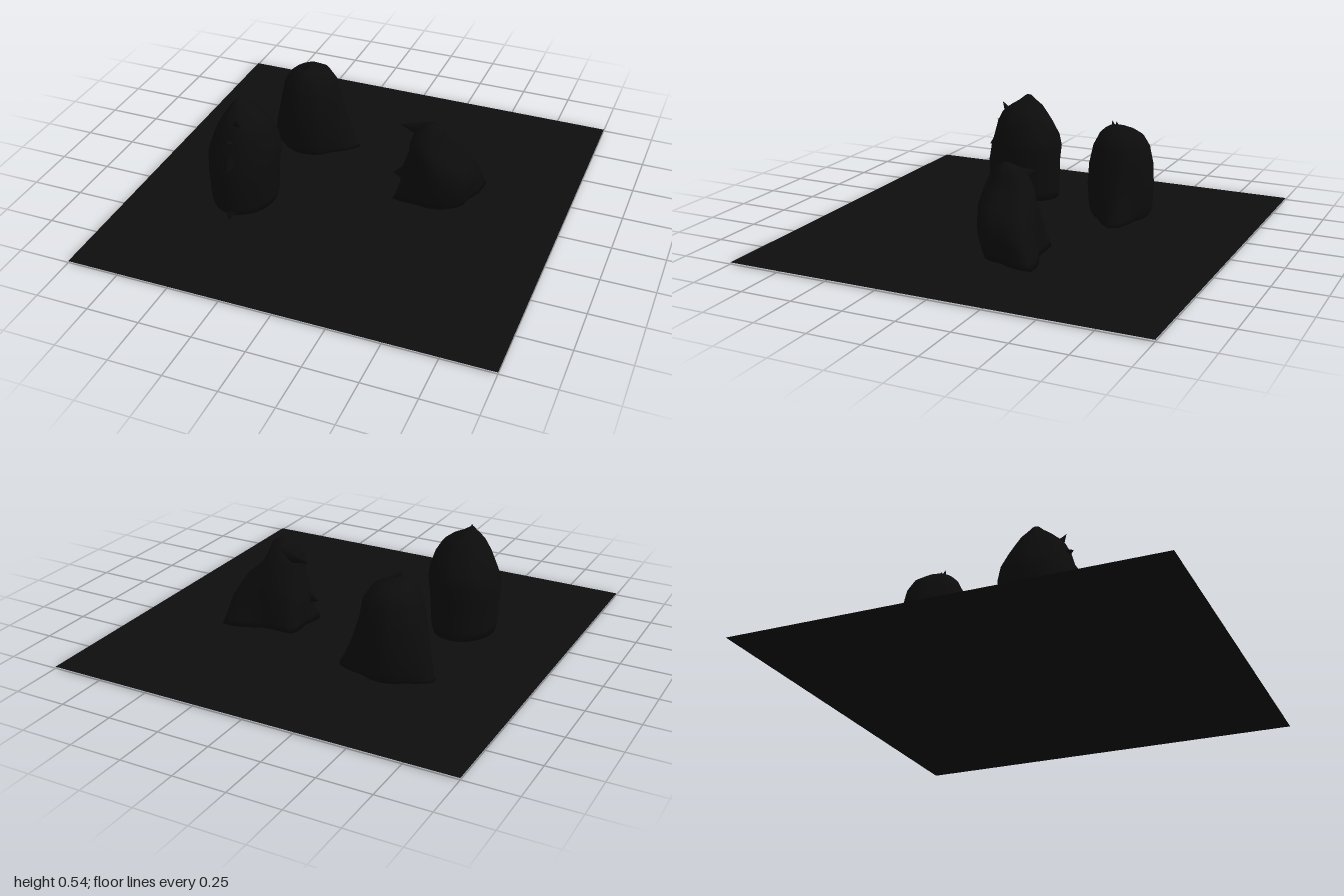
import * as THREE from 'three';

const plastic = new THREE.MeshStandardMaterial({ color: 0x0c0c0c });
plastic.name = 'black plastic';
plastic.side = THREE.DoubleSide;
const groundMat = new THREE.MeshStandardMaterial({ color: 0x0d0d0d });
groundMat.name = 'dark ground';
groundMat.side = THREE.DoubleSide;

const SIDES = 40;

// Sack lofted through rings [y, xMin, xMax, zMin, zMax].
// Corners [angle, width, height, length] pull the skirt outwards near the floor.
function sack(rings, corners, folds, phase) {
  const pos = [], index = [];
  const top = rings.length - 1;
  rings.forEach(([y, x0, x1, z0, z1], i) => {
    const cx = (x0 + x1) / 2, cz = (z0 + z1) / 2;
    const rx = (x1 - x0) / 2, rz = (z1 - z0) / 2;
    const depth = 0.012 + 0.07 * (i / top) ** 3;
    for (let j = 0; j < SIDES; j++) {
      const t = (j / SIDES) * Math.PI * 2;
      const k = 1 - depth * (0.5 + 0.5 * Math.sin(folds * t + phase + y * 3));
      let push = 0;
      for (const [angle, width, height, length] of corners) {
        const d = Math.abs(Math.atan2(Math.sin(t - angle), Math.cos(t - angle)));
        push += length * Math.max(0, 1 - d / width) ** 1.4 * Math.max(0, 1 - (y - 0.02) / height) ** 1.8;
      }
      pos.push(cx + Math.cos(t) * (rx * k + push), y, cz + Math.sin(t) * (rz * k + push));
    }
  });
  for (let i = 0; i < top; i++) {
    for (let j = 0; j < SIDES; j++) {
      const a = i * SIDES + j, b = i * SIDES + (j + 1) % SIDES;
      index.push(a, a + SIDES, b, b, a + SIDES, b + SIDES);
    }
  }
  // Bottom and top caps
  for (const i of [0, top]) {
    const [y, x0, x1, z0, z1] = rings[i];
    const c = pos.length / 3;
    pos.push((x0 + x1) / 2, y, (z0 + z1) / 2);
    for (let j = 0; j < SIDES; j++) {
      const a = i * SIDES + j, b = i * SIDES + (j + 1) % SIDES;
      if (i === 0) index.push(c, a, b); else index.push(c, b, a);
    }
  }
  const g = new THREE.BufferGeometry();
  g.setAttribute('position', new THREE.Float32BufferAttribute(pos, 3));
  g.setIndex(index);
  g.computeVertexNormals();
  return g;
}

function add(group, name, geometry, material = plastic) {
  const mesh = new THREE.Mesh(geometry, material);
  mesh.name = name;
  group.add(mesh);
  return mesh;
}

// Pinched flap of plastic running from a base point to a tip
function flap(group, name, base, tip, radius, flat = 0.5) {
  const a = new THREE.Vector3(...base), b = new THREE.Vector3(...tip);
  const dir = b.clone().sub(a);
  const mesh = add(group, name, new THREE.ConeGeometry(radius, dir.length(), 8, 2));
  mesh.position.copy(a).add(b).multiplyScalar(0.5);
  mesh.quaternion.setFromUnitVectors(new THREE.Vector3(0, 1, 0), dir.normalize());
  mesh.scale.z = flat;
}

export function createModel() {
  const model = new THREE.Group();
  model.name = 'garbageBags';

  // Ground sheet
  add(model, 'ground', new THREE.PlaneGeometry(2, 2).rotateX(-Math.PI / 2).translate(0, 0.008, 0), groundMat);

  // Tall bag at the front
  const tall = new THREE.Group();
  tall.name = 'tallBag';
  add(tall, 'tallSack', sack([
    [0.02, -0.625, -0.33, 0.065, 0.42],
    [0.06, -0.63, -0.32, 0.06, 0.435],
    [0.2, -0.64, -0.31, 0.06, 0.435],
    [0.28, -0.647, -0.303, 0.052, 0.42],
    [0.34, -0.628, -0.31, 0.06, 0.4],
    [0.41, -0.597, -0.33, 0.095, 0.38],
    [0.46, -0.567, -0.36, 0.125, 0.355],
    [0.49, -0.548, -0.4, 0.15, 0.32],
    [0.515, -0.53, -0.45, 0.19, 0.28],
    [0.54, -0.51, -0.49, 0.22, 0.25],
  ], [], 7, 0.5));
  flap(tall, 'upperEar', [-0.46, 0.42, 0.31], [-0.45, 0.505, 0.36], 0.05);
  flap(tall, 'frontEar', [-0.48, 0.38, 0.34], [-0.48, 0.4, 0.405], 0.06);
  flap(tall, 'frontFold', [-0.47, 0.31, 0.37], [-0.47, 0.265, 0.445], 0.06, 0.8);
  flap(tall, 'sideEar', [-0.42, 0.42, 0.22], [-0.395, 0.48, 0.2], 0.05);
  flap(tall, 'floorCorner', [-0.47, 0.07, 0.39], [-0.47, 0.0, 0.45], 0.05);
  model.add(tall);

  // Round bag at the back with a flared skirt
  const round = new THREE.Group();
  round.name = 'roundBag';
  add(round, 'roundSack', sack([
    [0.02, -0.52, -0.22, -0.465, -0.19],
    [0.035, -0.52, -0.22, -0.475, -0.18],
    [0.06, -0.52, -0.22, -0.485, -0.17],
    [0.11, -0.525, -0.217, -0.488, -0.165],
    [0.18, -0.525, -0.215, -0.49, -0.16],
    [0.28, -0.52, -0.225, -0.485, -0.165],
    [0.37, -0.505, -0.238, -0.465, -0.185],
    [0.42, -0.475, -0.27, -0.435, -0.21],
    [0.445, -0.44, -0.31, -0.395, -0.235],
    [0.46, -0.41, -0.35, -0.34, -0.26],
    [0.462, -0.39, -0.37, -0.31, -0.28],
  ], [[-0.2, 0.75, 0.3, 0.11], [Math.PI + 0.08, 0.7, 0.4, 0.08]], 9, 1));
  flap(round, 'knotFront', [-0.38, 0.44, -0.28], [-0.385, 0.485, -0.27], 0.025);
  flap(round, 'knotBack', [-0.38, 0.44, -0.3], [-0.375, 0.485, -0.295], 0.025);
  model.add(round);

  // Slumped bag on the other side, its neck folded over
  const slumped = new THREE.Group();
  slumped.name = 'slumpedBag';
  add(slumped, 'slumpedSack', sack([
    [0.02, 0.205, 0.53, -0.225, 0.035],
    [0.05, 0.205, 0.535, -0.225, 0.045],
    [0.1, 0.205, 0.545, -0.22, 0.055],
    [0.15, 0.205, 0.555, -0.215, 0.06],
    [0.2, 0.22, 0.535, -0.21, 0.062],
    [0.25, 0.24, 0.51, -0.2, 0.062],
    [0.32, 0.25, 0.435, -0.18, 0.052],
    [0.37, 0.265, 0.415, -0.15, 0.03],
    [0.41, 0.3, 0.402, -0.11, -0.01],
    [0.43, 0.335, 0.37, -0.07, -0.035],
  ], [[-0.8, 0.75, 0.38, 0.13], [-2.4, 0.6, 0.3, 0.05], [2.5, 0.6, 0.15, 0.06]], 6, 2));
  flap(slumped, 'foldedNeck', [0.33, 0.365, -0.09], [0.175, 0.355, -0.12], 0.05, 0.8);
  flap(slumped, 'sidePleat', [0.26, 0.15, -0.03], [0.17, 0.13, -0.04], 0.06);
  model.add(slumped);

  return model;
}
